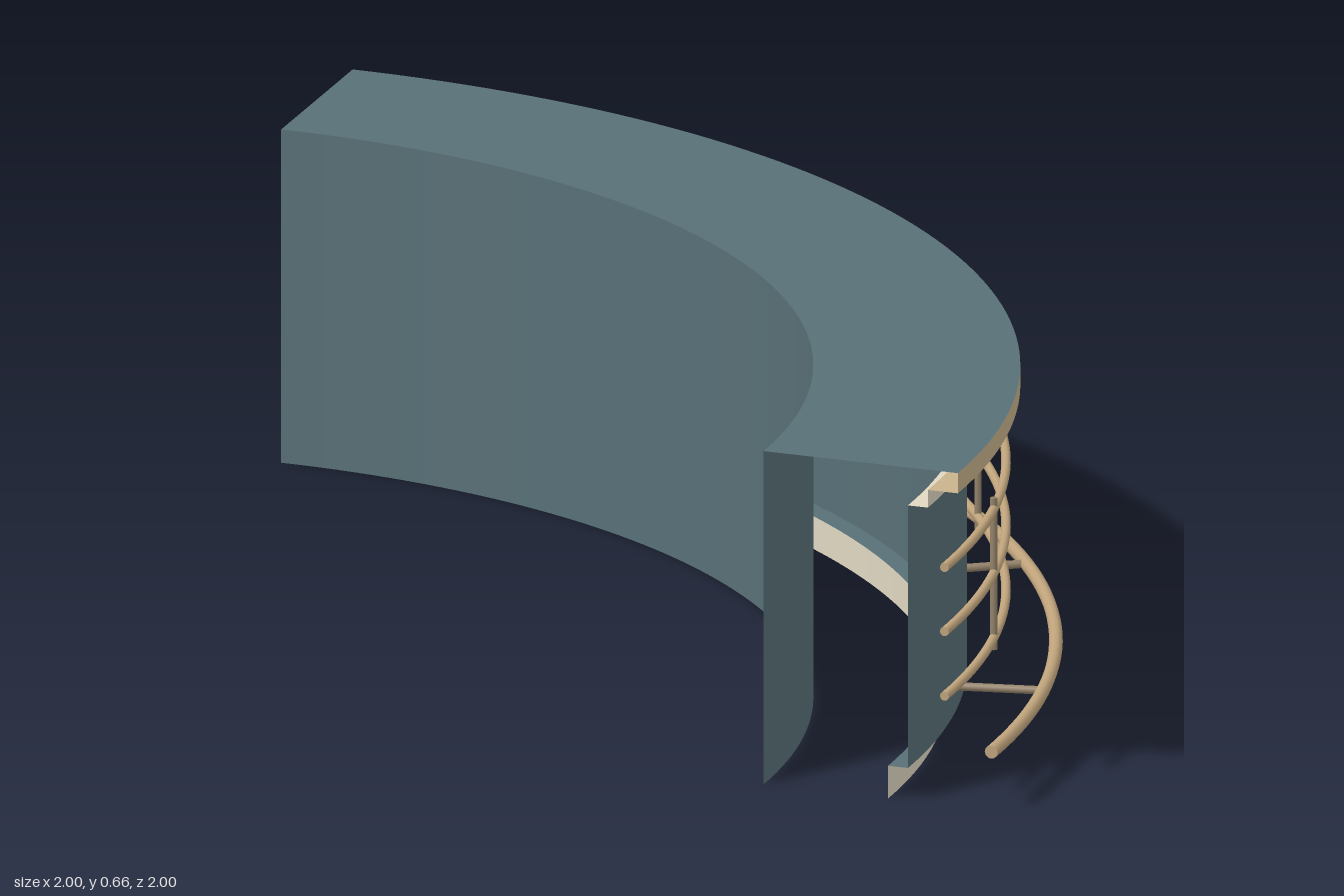
import * as THREE from 'three';
import { mergeGeometries } from 'three/addons/utils/BufferGeometryUtils.js';

const QUARTER = Math.PI / 2;

export function createModel() {
  const material = (name, color, side = THREE.FrontSide) => {
    const m = new THREE.MeshStandardMaterial({ color, side });
    m.name = name;
    return m;
  };
  const slate = material('slate panel', 0x587077, THREE.DoubleSide);
  const tan = material('tan edge', 0xc8b48c, THREE.DoubleSide);
  const cream = material('cream trim', 0xe0d8c2, THREE.DoubleSide);
  const brass = material('rail metal', 0xc0a47c);
  const bracketMetal = material('bracket metal', 0x94836a);

  // Everything sweeps a quarter turn around the corner at (-1, 1)
  const counter = new THREE.Group();
  counter.name = 'curvedCounter';
  counter.position.set(-1, 0, 1);

  const add = (name, geometry, mat, parent = counter) => {
    const mesh = new THREE.Mesh(geometry, mat);
    mesh.name = name;
    parent.add(mesh);
    return mesh;
  };

  // One straight piece of the counter's cross-section, swept round the quarter
  const sweep = (name, mat, r0, y0, r1, y1) =>
    add(name, new THREE.LatheGeometry(
      [new THREE.Vector2(r0, y0), new THREE.Vector2(r1, y1)], 64, QUARTER, QUARTER), mat);

  // Hollow shell, open at the ends and underneath
  sweep('plinth', cream, 1.78, 0, 1.78, 0.065);
  sweep('panelUnderside', slate, 1.78, 0.065, 1.82, 0.065);
  sweep('frontPanel', slate, 1.82, 0.065, 1.82, 0.585);
  sweep('trimUnderside', cream, 1.82, 0.585, 1.86, 0.585);
  sweep('trimBand', cream, 1.86, 0.585, 1.86, 0.62);
  sweep('topUnderside', tan, 1.86, 0.62, 1.92, 0.62);
  sweep('topEdge', tan, 1.92, 0.62, 1.92, 0.66);
  sweep('counterTop', slate, 1.92, 0.66, 1.53, 0.66);
  sweep('innerWall', slate, 1.53, 0.66, 1.53, 0);

  // Round rail bent to the quarter circle, with capped ends
  const rail = (name, radius, thickness, y) => {
    const bar = new THREE.TorusGeometry(radius, thickness, 10, 64, QUARTER).rotateX(-QUARTER);
    const frontCap = new THREE.CircleGeometry(thickness, 10).translate(radius, 0, 0);
    const sideCap = new THREE.CircleGeometry(thickness, 10).rotateY(-QUARTER).translate(0, 0, -radius);
    add(name, mergeGeometries([bar, frontCap, sideCap]), brass).position.y = y;
  };
  [0.215, 0.343, 0.47].forEach((y, i) => rail('frontRail' + (i + 1), 1.893, 0.009, y));
  rail('footRail', 1.987, 0.013, 0.115);

  // Uprights for the front rails and brackets for the foot rail
  for (let i = 0; i < 4; i++) {
    const support = new THREE.Group();
    support.name = 'railSupport' + (i + 1);
    support.rotation.y = (i + 0.5) * QUARTER / 4;
    counter.add(support);
    add('upright', new THREE.CylinderGeometry(0.007, 0.007, 0.3, 10), bracketMetal, support)
      .position.set(1.893, 0.342, 0);
    add('footBracket', new THREE.CylinderGeometry(0.008, 0.008, 0.165, 10).rotateZ(QUARTER),
      bracketMetal, support).position.set(1.9, 0.115, 0);
  }

  const group = new THREE.Group();
  group.name = 'barCounter';
  group.add(counter);
  return group;
}
